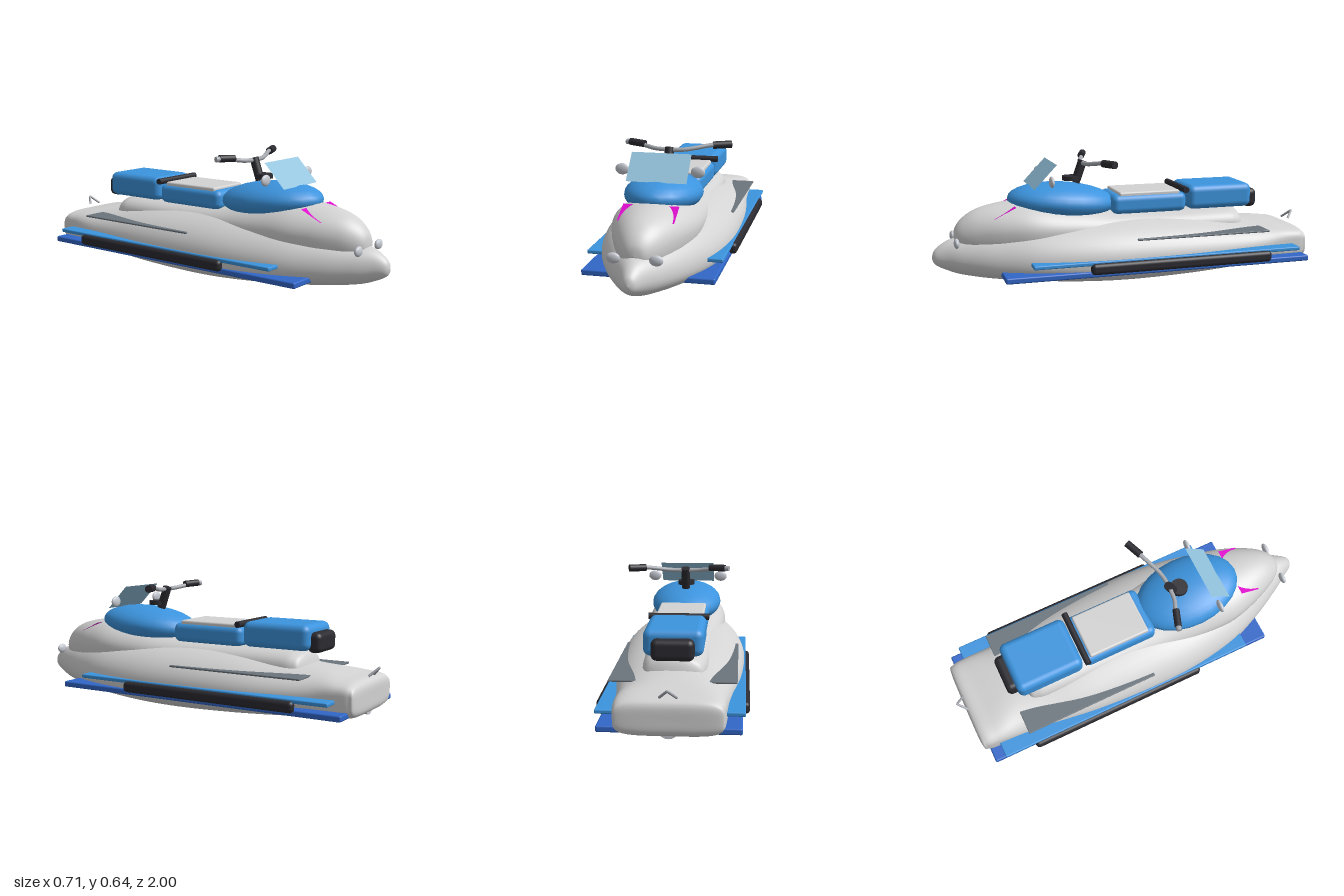
import * as THREE from 'three';
import { RoundedBoxGeometry } from 'three/addons/geometries/RoundedBoxGeometry.js';

const mat = (name, color, extra = {}) => {
  const m = new THREE.MeshStandardMaterial({ color, ...extra });
  m.name = name;
  return m;
};

// Smooth loft along z; station = [z, halfWidth, bottomY, widestY, topY, topPower, bottomPower]
function loft(stations, steps = 64, sides = 56) {
  const columns = stations[0].map((_, k) =>
    new THREE.SplineCurve(stations.map((s, i) => new THREE.Vector2(i, s[k]))));
  const pos = [], idx = [];
  for (let i = 0; i <= steps; i++) {
    const [z, w, yb, ym, yt, nt, nb] = columns.map(c => c.getPoint(i / steps).y);
    for (let j = 0; j < sides; j++) {
      const a = (j / sides) * Math.PI * 2, c = Math.cos(a), s = Math.sin(a);
      const p = 2 / (s >= 0 ? nt : nb);
      const h = s >= 0 ? yt - ym : yb - ym;
      pos.push(Math.max(w, 0) * Math.sign(c) * Math.abs(c) ** p, ym + h * Math.abs(s) ** p, z);
      if (i < steps) {
        const k = (j + 1) % sides, r = i * sides, q = r + sides;
        idx.push(r + j, q + j, r + k, r + k, q + j, q + k);
      }
    }
  }
  const g = new THREE.BufferGeometry();
  g.setAttribute('position', new THREE.Float32BufferAttribute(pos, 3));
  g.setIndex(idx);
  g.computeVertexNormals();
  return g;
}

export function createModel() {
  const group = new THREE.Group();
  const shell = mat('shellGrey', 0xd3d3d3);
  const blue = mat('seatBlue', 0x3c94de);
  const deepBlue = mat('deepBlue', 0x3167c8);
  const black = mat('rubberBlack', 0x2b2b31);
  const steel = mat('steelGrey', 0xa6aab0);
  const slate = mat('slateGrey', 0x6c757d);
  const silver = mat('silver', 0xc6cad2);
  const glass = mat('paleBlue', 0x94c4de, { side: THREE.DoubleSide });
  const magenta = mat('magenta', 0xdd08cc, { side: THREE.DoubleSide });

  const add = (name, geometry, material, x = 0, y = 0, z = 0) => {
    const m = new THREE.Mesh(geometry, material);
    m.name = name;
    m.position.set(x, y, z);
    group.add(m);
    return m;
  };
  // Rounded box given by its limits
  const block = (name, material, [x0, x1], [y0, y1], [z0, z1], r) =>
    add(name, new RoundedBoxGeometry(x1 - x0, y1 - y0, z1 - z0, 4, r), material,
      (x0 + x1) / 2, (y0 + y1) / 2, (z0 + z1) / 2);
  const rod = (name, material, points, r, tension = 0.5) => add(name, new THREE.TubeGeometry(
    new THREE.CatmullRomCurve3(points.map(p => new THREE.Vector3(...p)), false, 'catmullrom', tension),
    32, r, 12), material);
  // Capped straight cylinder between two points
  const bar = (name, material, a, b, r) => {
    const p = new THREE.Vector3(...a), d = new THREE.Vector3(...b).sub(p);
    const m = add(name, new THREE.CylinderGeometry(r, r, d.length(), 20), material);
    m.position.copy(p).addScaledVector(d, 0.5);
    m.quaternion.setFromUnitVectors(new THREE.Vector3(0, 1, 0), d.normalize());
    return m;
  };
  const ball = (name, material, x, y, z, rx, ry, rz) => {
    const m = add(name, new THREE.SphereGeometry(1, 24, 16), material, x, y, z);
    m.scale.set(rx, ry, rz);
    return m;
  };

  // Hull: pointed nose, flat bottom, squared stern
  add('hull', loft([
    [1.0, 0.001, 0.149, 0.15, 0.151, 2, 2],
    [0.985, 0.03, 0.115, 0.15, 0.19, 2, 2],
    [0.93, 0.065, 0.085, 0.15, 0.23, 2, 2],
    [0.85, 0.115, 0.058, 0.145, 0.255, 2, 2.1],
    [0.7, 0.195, 0.035, 0.14, 0.29, 2, 2.3],
    [0.5, 0.275, 0.02, 0.14, 0.325, 2, 2.5],
    [0.25, 0.32, 0.008, 0.14, 0.34, 2, 2.8],
    [0, 0.328, 0.001, 0.14, 0.34, 2, 2.8],
    [-0.32, 0.312, 0.008, 0.14, 0.32, 2, 2.8],
    [-0.6, 0.275, 0.022, 0.14, 0.28, 2.1, 2.8],
    [-0.75, 0.26, 0.035, 0.14, 0.262, 2.5, 3],
    [-0.87, 0.253, 0.05, 0.14, 0.24, 4, 4],
    [-0.94, 0.245, 0.06, 0.14, 0.228, 4.5, 4.5],
    [-0.967, 0.215, 0.085, 0.14, 0.2, 4, 4],
    [-0.97, 0.001, 0.139, 0.14, 0.141, 4, 4],
  ], 112), shell);

  // Hood running back into the seat ridge
  add('hood', loft([
    [0.89, 0.001, 0.249, 0.25, 0.251, 2, 2],
    [0.88, 0.045, 0.2, 0.25, 0.3, 2, 2],
    [0.84, 0.085, 0.16, 0.26, 0.348, 2, 2],
    [0.77, 0.125, 0.12, 0.275, 0.388, 2, 2],
    [0.65, 0.175, 0.1, 0.285, 0.415, 2, 2],
    [0.5, 0.212, 0.1, 0.285, 0.425, 2, 2],
    [0.3, 0.21, 0.1, 0.275, 0.4, 2, 2],
    [0.1, 0.19, 0.1, 0.265, 0.365, 2.2, 2],
    [-0.15, 0.168, 0.1, 0.25, 0.345, 2.6, 2],
    [-0.5, 0.158, 0.1, 0.24, 0.34, 2.8, 2],
    [-0.6, 0.145, 0.1, 0.24, 0.333, 2.6, 2],
    [-0.64, 0.115, 0.12, 0.23, 0.305, 2.2, 2],
    [-0.67, 0.001, 0.199, 0.2, 0.201, 2, 2],
  ], 96), shell);

  // Running boards
  block('lowerBoard', deepBlue, [-0.322, 0.322], [0.07, 0.1], [-0.94, 0.68], 0.008);
  block('upperBoard', blue, [-0.335, 0.335], [0.134, 0.154], [-0.88, 0.545], 0.006);

  // Tank cover, tilted slightly up at the front
  ball('tankCover', blue, 0, 0.41, 0.33, 0.19, 0.095, 0.285).rotation.x = -0.08;

  // Seats
  block('frontSeat', blue, [-0.135, 0.135], [0.34, 0.44], [-0.315, 0.09], 0.032);
  block('seatPanel', shell, [-0.12, 0.12], [0.42, 0.454], [-0.28, 0.05], 0.01);
  block('rearSeat', blue, [-0.14, 0.14], [0.345, 0.472], [-0.685, -0.325], 0.035);
  block('backPad', black, [-0.1, 0.1], [0.335, 0.435], [-0.733, -0.66], 0.028);
  bar('seatStrap', black, [-0.15, 0.455, -0.305], [0.15, 0.455, -0.305], 0.016);

  // Steering, turned a little to one side
  add('steeringBase', new THREE.CylinderGeometry(0.045, 0.045, 0.022, 24), black, 0, 0.525, 0.28);
  bar('steeringColumn', black, [0, 0.5, 0.255], [0, 0.612, 0.215], 0.023);
  rod('handlebar', steel, [[-0.225, 0.622, 0.16], [-0.13, 0.612, 0.19], [-0.06, 0.603, 0.214],
    [0.07, 0.603, 0.214], [0.2, 0.622, 0.165], [0.29, 0.625, 0.132]], 0.011);
  bar('handlebarEnd', steel, [-0.238, 0.622, 0.154], [-0.21, 0.622, 0.164], 0.014);
  bar('rightGrip', black, [-0.218, 0.624, 0.16], [-0.133, 0.62, 0.19], 0.018);
  bar('leftGrip', black, [0.212, 0.622, 0.162], [0.298, 0.624, 0.127], 0.019);

  // Windshield, leaning back
  add('windshield', new THREE.PlaneGeometry(0.296, 0.167), glass, 0, 0.555, 0.442).rotation.x = -0.764;

  for (const s of [-1, 1]) {
    ball('headlight', silver, s * 0.098, 0.238, 0.885, 0.032, 0.025, 0.014);
    ball('mirror', silver, s * 0.187, 0.537, 0.42, 0.035, 0.028, 0.013);
    block('bumper', black, [s * 0.332 - 0.022, s * 0.332 + 0.022], [0.088, 0.145], [-0.712, 0.26], 0.02);
    block('footRail', slate, [s * 0.21 - 0.086, s * 0.21 + 0.086], [0.235, 0.244], [-0.72, 0.005], 0.003);
    // Hood accent
    add('hoodAccent', new THREE.PlaneGeometry(0.07, 0.122), magenta, s * 0.1, 0.3815, 0.645)
      .rotation.x = -Math.PI / 2 + 0.449;
  }

  // Stern fittings
  rod('towHook', steel, [[-0.038, 0.24, -0.955], [0, 0.28, -0.995], [0.038, 0.24, -0.955]], 0.006, 0.05);
  bar('jetNozzle', silver, [0, 0.1, -0.95], [0, 0.1, -0.8], 0.05);
  return group;
}
